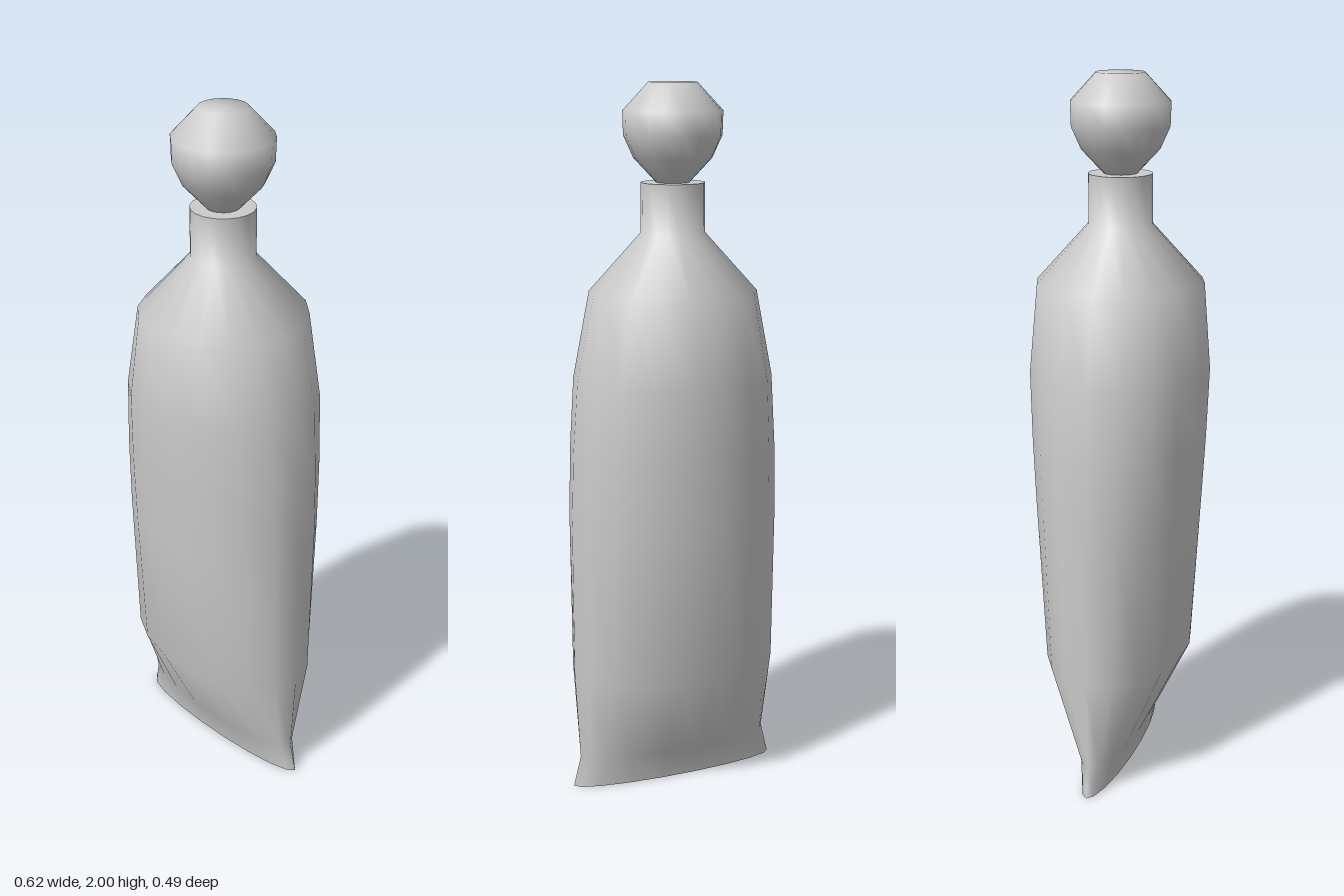
import * as THREE from 'three';
import { mergeVertices } from 'three/addons/utils/BufferGeometryUtils.js';

const SIDES = 18;
const material = new THREE.MeshStandardMaterial({ color: 0xcccccc });

// Smooth skin through elliptical rings [y, half width, half depth], bottom to top
function ringedSurface(name, rings) {
  const profile = rings.map(([y, rx]) => new THREE.Vector2(rx, y));
  let geometry = new THREE.LatheGeometry(profile, SIDES, Math.PI / 2);
  const pos = geometry.attributes.position;
  for (let i = 0; i < pos.count; i++) {
    const [, rx, rz = rx] = rings[i % rings.length];
    if (rx > 0) pos.setZ(i, pos.getZ(i) * rz / rx);
  }
  // Weld the seam so the shading runs smoothly around
  geometry.deleteAttribute('uv');
  geometry.deleteAttribute('normal');
  geometry = mergeVertices(geometry, 1e-5);
  geometry.computeVertexNormals();
  const mesh = new THREE.Mesh(geometry, material);
  mesh.name = name;
  return mesh;
}

// Flat elliptical lid, facing up or down
function lid(name, y, rx, rz, up) {
  const geometry = new THREE.CircleGeometry(1, SIDES);
  geometry.rotateX(up ? -Math.PI / 2 : Math.PI / 2);
  geometry.scale(rx, 1, rz);
  geometry.translate(0, y, 0);
  const mesh = new THREE.Mesh(geometry, material);
  mesh.name = name;
  return mesh;
}

export function createModel() {
  const model = new THREE.Group();
  model.name = 'squeezeTube';

  // Tube: round at the shoulder, pinched flat at the bottom
  model.add(ringedSurface('tubeBody', [
    [0, 0.312, 0.05],
    [0.09, 0.29, 0.073],
    [0.35, 0.304, 0.2],
    [0.8, 0.304, 0.228],
    [1.0, 0.297, 0.24],
    [1.2, 0.282, 0.249],
    [1.44, 0.232, 0.232],
    [1.6, 0.088, 0.088],
    [1.735, 0.088, 0.088],
  ]));
  model.add(lid('bottomSeal', 0, 0.312, 0.05, false));
  model.add(lid('neckTop', 1.735, 0.088, 0.088, true));

  // Faceted ball cap
  model.add(ringedSurface('ballCap', [
    [1.73, 0],
    [1.735, 0.046],
    [1.8, 0.107],
    [1.86, 0.134],
    [1.925, 0.136],
    [2, 0.066],
    [2, 0],
  ]));
  return model;
}
